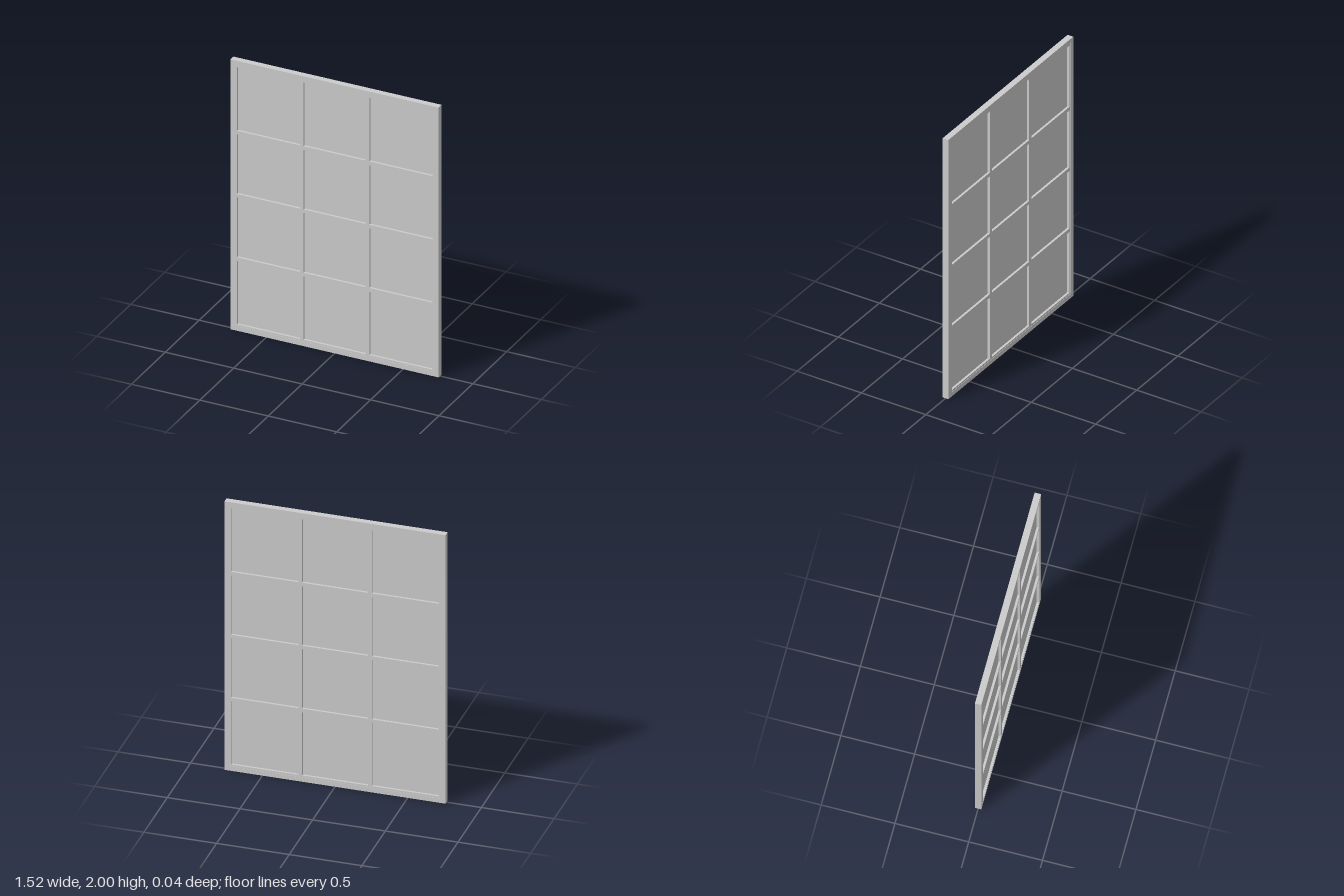
import * as THREE from 'three';

const material = new THREE.MeshStandardMaterial({ color: 0xcccccc, flatShading: true });

// Rectangle outline from left, bottom, right and top
function rect(Type, l, b, r, t) {
  const path = new Type();
  path.moveTo(l, b).lineTo(r, b).lineTo(r, t).lineTo(l, t).closePath();
  return path;
}

// Flat board with rectangular openings, centred on z = 0
function board(name, outline, openings, depth) {
  const shape = rect(THREE.Shape, ...outline);
  shape.holes = openings.map((o) => rect(THREE.Path, ...o));
  const geometry = new THREE.ExtrudeGeometry(shape, { depth, bevelEnabled: false });
  geometry.translate(0, 0, -depth / 2);
  const mesh = new THREE.Mesh(geometry, material);
  mesh.name = name;
  return mesh;
}

export function createModel() {
  const group = new THREE.Group();
  group.name = 'window';

  const sash = [-0.73, 0.033, 0.73, 1.967];
  const columns = [[-0.714, -0.253], [-0.227, 0.227], [0.253, 0.714]];
  const rows = [[0.046, 0.515], [0.543, 0.986], [1.012, 1.453], [1.481, 1.952]];
  const panes = rows.flatMap(([b, t]) => columns.map(([l, r]) => [l, b, r, t]));

  // Outer frame around the sash
  group.add(board('outerFrame', [-0.76, 0, 0.76, 2], [sash], 0.044));

  // Inner bead and glazing bars in one lattice, set just below the frame face
  group.add(board('glazingBars', sash, panes, 0.04));

  // One thin pane in each opening
  const glass = new THREE.Group();
  glass.name = 'glassPanes';
  panes.forEach(([l, b, r, t], i) => {
    const pane = new THREE.Mesh(new THREE.BoxGeometry(r - l, t - b, 0.008), material);
    pane.position.set((l + r) / 2, (b + t) / 2, 0);
    pane.name = `pane${i + 1}`;
    glass.add(pane);
  });
  group.add(glass);

  return group;
}
